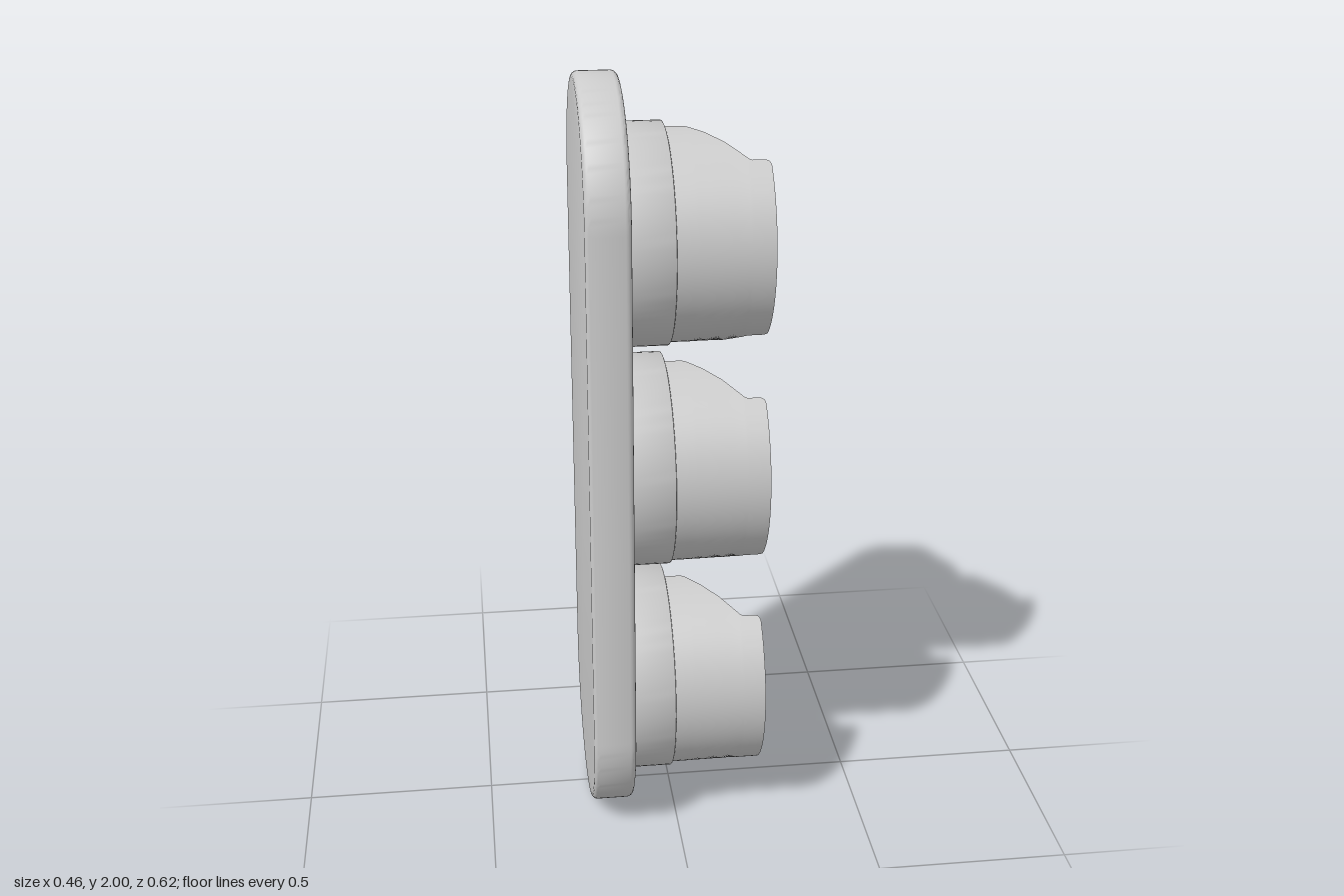
import * as THREE from 'three';
import { toCreasedNormals } from 'three/addons/utils/BufferGeometryUtils.js';

const material = new THREE.MeshStandardMaterial({ color: 0xcccccc });

function part(name, geometry, crease = 0.6) {
  const mesh = new THREE.Mesh(toCreasedNormals(geometry, crease), material);
  mesh.name = name;
  return mesh;
}

// Stadium-shaped plate with rounded edges, lying in the YZ plane
function plateGeometry() {
  const bevel = 0.015, r = 0.3125 - bevel, half = 1 - 0.3125;
  const shape = new THREE.Shape();
  shape.absarc(0, half, r, 0, Math.PI, false);
  shape.absarc(0, -half, r, Math.PI, Math.PI * 2, false);
  shape.closePath();
  const geometry = new THREE.ExtrudeGeometry(shape, {
    depth: 0.11 - 2 * bevel, bevelSize: bevel, bevelThickness: bevel, bevelSegments: 4, curveSegments: 40,
  });
  geometry.rotateY(Math.PI / 2);
  geometry.translate(-0.229 + bevel, 1, 0);
  return geometry;
}

// Surface turned about the x axis from [radius, x] points
function turned(points) {
  const geometry = new THREE.LatheGeometry(points.map(([r, x]) => new THREE.Vector2(r, x)), 80);
  geometry.rotateZ(-Math.PI / 2);
  return geometry;
}

// Curved hood: a thin cylindrical shell whose opening follows an x / z edge line
function hoodGeometry() {
  const outer = 0.27, inner = 0.258, n = 48;
  const edge = [
    [-0.02, 0.003], [0.03, 0.003], [0.037, 0.005], [0.044, 0.01], [0.08, 0.049], [0.125, 0.098],
    [0.168, 0.145], [0.174, 0.151], [0.182, 0.155], [0.214, 0.155], [0.221, 0.157], [0.226, 0.162], [0.228, 0.169],
  ];
  const positions = [], indices = [], ring = 2 * (n + 1);
  for (const [x, z] of edge) {
    const start = Math.asin(z / outer);
    for (let k = 0; k < ring; k++) {
      const onOuter = k <= n;
      const step = onOuter ? k : ring - 1 - k;
      const t = start + (Math.PI - 2 * start) * step / n;
      const r = onOuter ? outer : inner;
      positions.push(x, r * Math.cos(t), r * Math.sin(t));
    }
  }
  for (let i = 0; i < edge.length - 1; i++) {
    for (let k = 0; k < ring; k++) {
      const a = i * ring + k, b = i * ring + (k + 1) % ring;
      indices.push(a, b, a + ring, b, b + ring, a + ring);
    }
  }
  // Rim at the open end
  const last = (edge.length - 1) * ring;
  for (let k = 0; k < n; k++) {
    const o = last + k, i = last + ring - 1 - k;
    indices.push(o, o + 1, i, o + 1, i - 1, i);
  }
  const geometry = new THREE.BufferGeometry();
  geometry.setAttribute('position', new THREE.Float32BufferAttribute(positions, 3));
  geometry.setIndex(indices);
  return geometry;
}

export function createModel() {
  const model = new THREE.Group();
  model.name = 'signalLight';
  model.add(part('backPlate', plateGeometry()));

  // Housing with a narrow groove around the lens seat
  const housing = turned([
    [0.278, -0.125], [0.278, -0.013], [0.277, -0.011], [0.275, -0.01],
    [0.213, -0.01], [0.213, -0.022], [0, -0.022],
  ]);
  const lens = turned([[0.2095, -0.022], [0.2095, -0.009], [0.2085, -0.007], [0.206, -0.006], [0, -0.006]]);
  const hood = hoodGeometry();

  [['top', 1.597], ['middle', 0.988], ['bottom', 0.366]].forEach(([name, y]) => {
    const lamp = new THREE.Group();
    lamp.name = name + 'Lamp';
    lamp.position.y = y;
    lamp.add(part('housing', housing), part('lens', lens), part('hood', hood));
    model.add(lamp);
  });
  return model;
}
